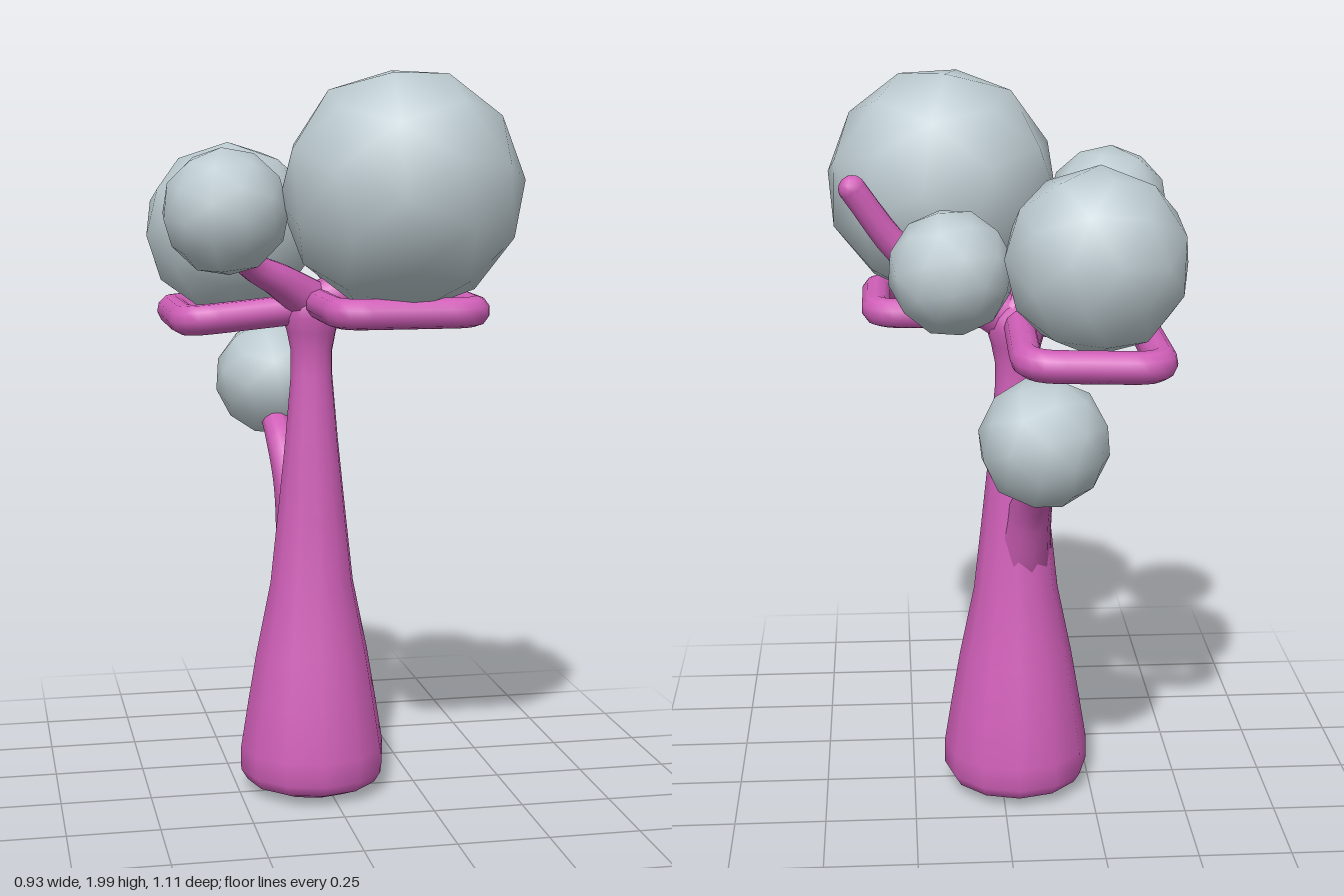
import * as THREE from 'three';

const bark = new THREE.MeshStandardMaterial({ color: 0xd05fb8 });
bark.name = 'pinkBark';
const leaf = new THREE.MeshStandardMaterial({ color: 0xbccacf });
leaf.name = 'paleGreyLeaves';

const vec = (p) => new THREE.Vector3(...p);

function add(group, name, geometry, material) {
  const mesh = new THREE.Mesh(geometry, material);
  mesh.name = name;
  group.add(mesh);
  return mesh;
}

// Tube along points whose radius eases from r0 at the root to r1 at the tip
function taperedTube(points, r0, r1) {
  const curve = new THREE.CatmullRomCurve3(points.map(vec));
  const steps = 14, sides = 10;
  const geo = new THREE.TubeGeometry(curve, steps, 1, sides);
  const pos = geo.attributes.position, nor = geo.attributes.normal;
  for (let i = 0; i < pos.count; i++) {
    const t = Math.floor(i / (sides + 1)) / steps;
    const r = r1 + (r0 - r1) * (1 - t) ** 2;
    const c = curve.getPointAt(t);
    pos.setXYZ(i, c.x + nor.getX(i) * r, c.y + nor.getY(i) * r, c.z + nor.getZ(i) * r);
  }
  return geo;
}

// Closed four-cornered ring with softly cut corners
function ringTube(corners, radius, cut) {
  const pts = corners.map(vec), path = new THREE.CurvePath(), n = pts.length;
  const toward = (a, b) => a.clone().add(b.clone().sub(a).setLength(cut));
  pts.forEach((p, i) => {
    const prev = pts[(i + n - 1) % n], next = pts[(i + 1) % n];
    path.add(new THREE.QuadraticBezierCurve3(toward(p, prev), p, toward(p, next)));
    path.add(new THREE.LineCurve3(toward(p, next), toward(next, p)));
  });
  return new THREE.TubeGeometry(path, 64, radius, 10, true);
}

export function createModel() {
  const tree = new THREE.Group();
  tree.name = 'tree';

  // Trunk: heavy foot, slim neck, flared crown hub
  const profile = [
    [0, 0.005], [0.13, 0.012], [0.185, 0.035], [0.203, 0.065], [0.203, 0.13], [0.182, 0.26],
    [0.158, 0.4], [0.117, 0.6], [0.095, 0.8], [0.074, 1.0], [0.058, 1.18], [0.058, 1.25],
    [0.068, 1.3], [0.08, 1.34], [0.078, 1.385], [0.05, 1.415], [0, 1.425],
  ].map(([r, y]) => new THREE.Vector2(r, y));
  add(tree, 'trunk', new THREE.LatheGeometry(profile, 12), bark).position.set(-0.04, 0, -0.022);

  // Two branch rings that carry the crown
  add(tree, 'frontBranchRing', ringTube(
    [[-0.03, 1.38, -0.01], [0.335, 1.385, -0.01], [0.335, 1.38, 0.35], [-0.03, 1.38, 0.35]], 0.04, 0.07), bark);
  add(tree, 'backBranchRing', ringTube(
    [[-0.045, 1.365, -0.02], [-0.385, 1.335, 0], [-0.385, 1.335, -0.435], [-0.04, 1.345, -0.435]], 0.042, 0.08), bark);

  // Free branches
  add(tree, 'lowerBranch', taperedTube(
    [[-0.05, 0.7, -0.04], [-0.075, 0.86, -0.1], [-0.095, 0.97, -0.19], [-0.1, 1.04, -0.33]], 0.09, 0.038), bark);
  add(tree, 'sideBranch', taperedTube(
    [[-0.03, 1.37, -0.02], [-0.13, 1.44, 0.02], [-0.22, 1.49, 0.06], [-0.29, 1.58, 0.13]], 0.07, 0.033), bark);
  const tip = [0.39, 1.725, -0.045];
  add(tree, 'bareBranch', taperedTube(
    [[-0.04, 1.36, -0.02], [0.12, 1.45, -0.005], [0.27, 1.56, -0.02], tip], 0.07, 0.037), bark);
  add(tree, 'bareBranchTip', new THREE.SphereGeometry(0.037, 10, 8), bark).position.set(...tip);

  // Leaf balls: centre, radius, turn
  [
    ['largeLeafBall', [0.15, 1.69, 0.245], 0.32, 0.4],
    ['backLeafBall', [-0.23, 1.57, -0.25], 0.243, 1.1],
    ['sideLeafBall', [-0.3, 1.635, 0.16], 0.168, 0.2],
    ['innerLeafBall', [0.14, 1.53, -0.18], 0.165, 0.8],
    ['lowerLeafBall', [-0.087, 1.13, -0.38], 0.171, 0.6],
  ].forEach(([name, centre, radius, turn]) => {
    const ball = add(tree, name, new THREE.IcosahedronGeometry(radius, 1), leaf);
    ball.position.set(...centre);
    ball.rotation.set(turn * 0.7, turn, turn * 0.4);
  });

  return tree;
}
